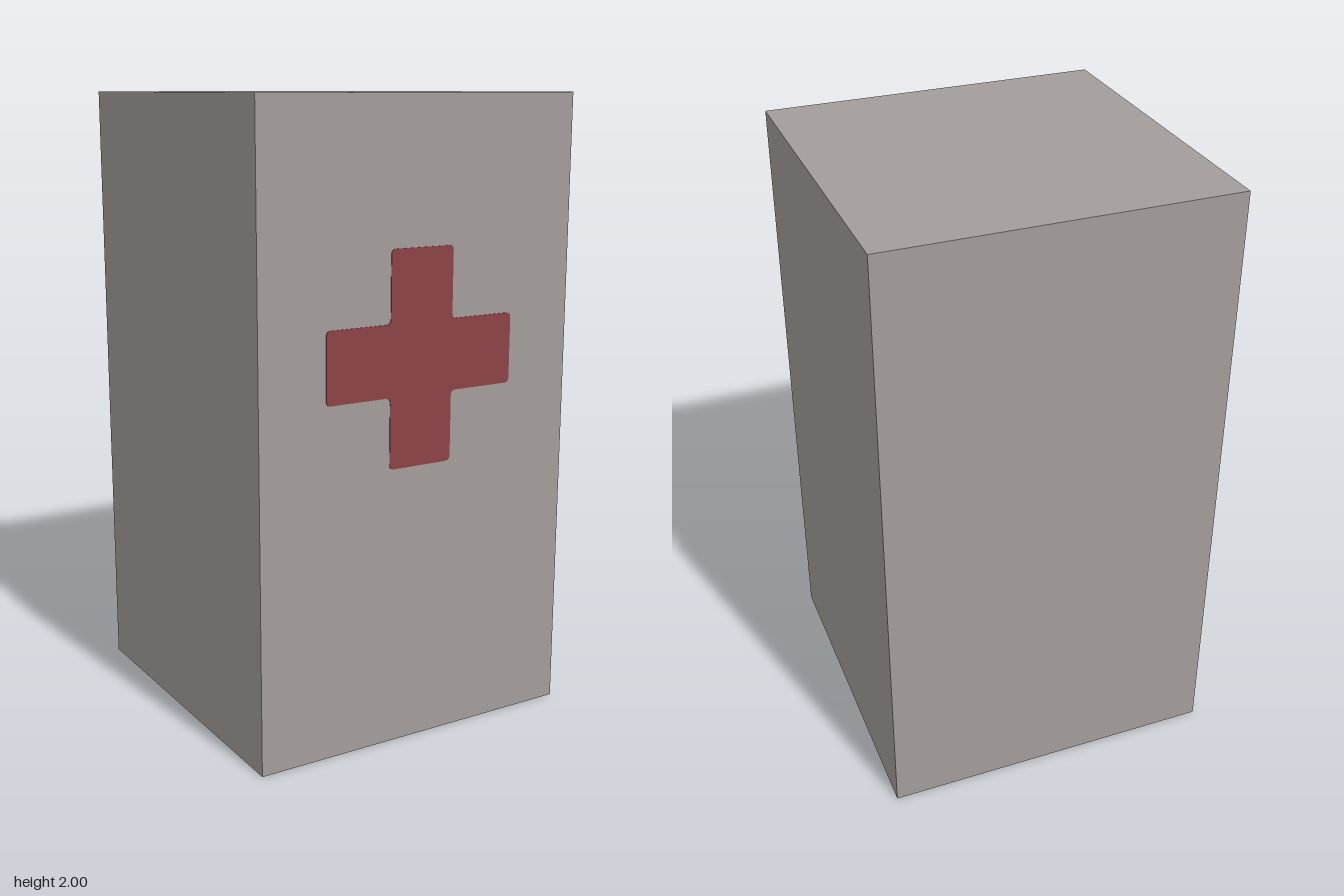
import * as THREE from 'three';

const WIDTH = 1.11, HEIGHT = 2;

// Equal-armed cross with every corner, inner and outer, slightly rounded
function crossShape(reach, half, r) {
  const quarter = [[half, half], [half, reach], [-half, reach]];
  const corners = [];
  for (let i = 0; i < 4; i++) {
    for (const [x, y] of quarter) {
      corners.push(new THREE.Vector2(x, y).rotateAround(new THREE.Vector2(), i * Math.PI / 2));
    }
  }
  const toward = (a, b) => b.clone().sub(a).setLength(r).add(a);
  const shape = new THREE.Shape();
  corners.forEach((c, i) => {
    const start = toward(c, corners[(i + 11) % 12]);
    const end = toward(c, corners[(i + 1) % 12]);
    if (i === 0) shape.moveTo(start.x, start.y);
    else shape.lineTo(start.x, start.y);
    shape.quadraticCurveTo(c.x, c.y, end.x, end.y);
  });
  shape.closePath();
  return shape;
}

export function createModel() {
  const group = new THREE.Group();
  group.name = 'firstAidCabinet';

  const warmGrey = new THREE.MeshStandardMaterial({ color: 0xa39c9a });
  warmGrey.name = 'warmGrey';
  const mutedRed = new THREE.MeshStandardMaterial({ color: 0x8c4345 });
  mutedRed.name = 'mutedRed';

  // Tall square-based body
  const body = new THREE.Mesh(new THREE.BoxGeometry(WIDTH, HEIGHT, WIDTH), warmGrey);
  body.name = 'body';
  body.position.y = HEIGHT / 2;
  group.add(body);

  // Painted cross on the front face
  const cross = new THREE.Mesh(
    new THREE.ExtrudeGeometry(crossShape(0.333, 0.111, 0.016), {
      depth: 0.002, bevelEnabled: false, curveSegments: 4,
    }),
    mutedRed
  );
  cross.name = 'frontCross';
  cross.position.set(0, 1.222, WIDTH / 2);
  group.add(cross);

  return group;
}
